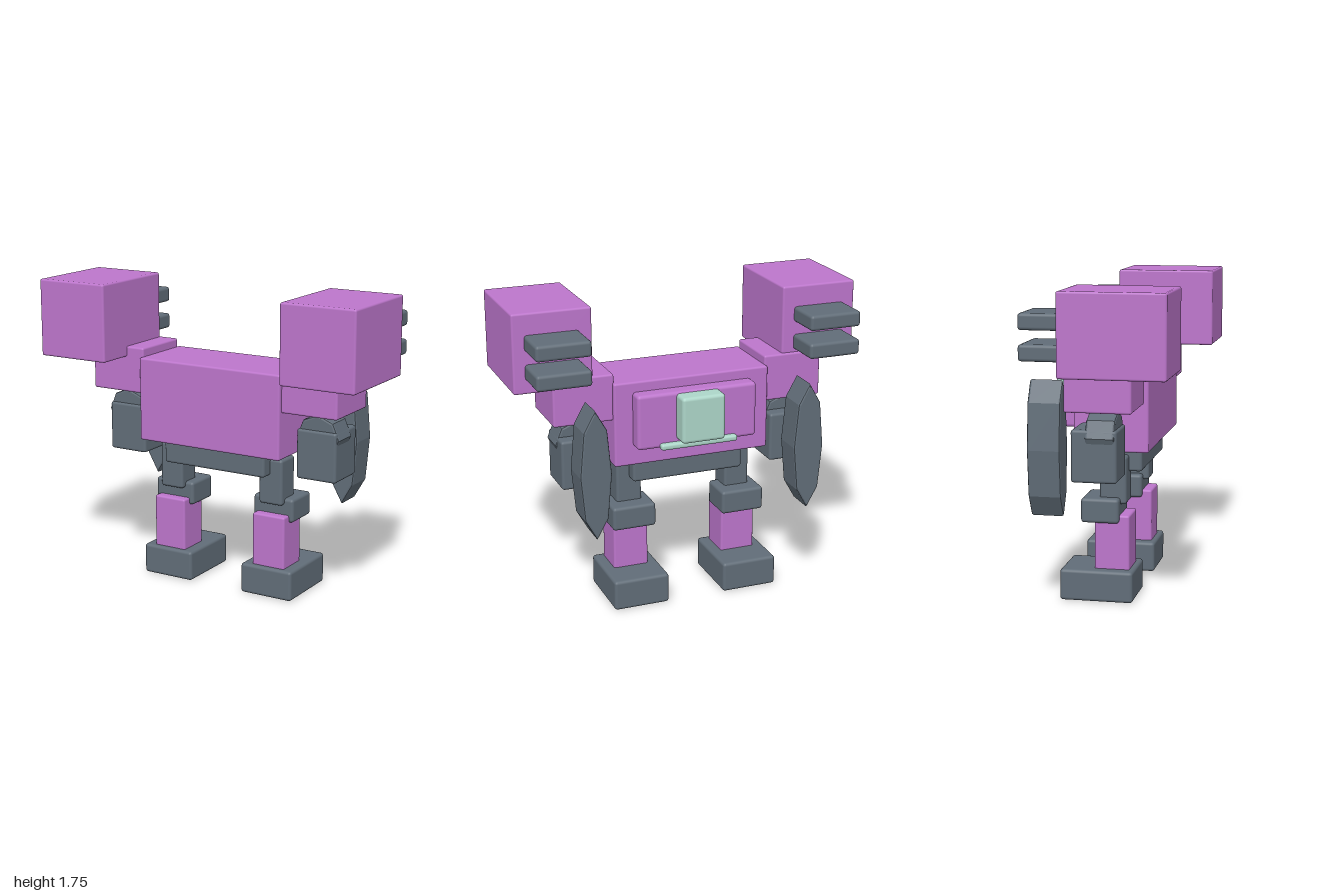
import * as THREE from 'three';
import { RoundedBoxGeometry } from 'three/addons/geometries/RoundedBoxGeometry.js';

export function createModel() {
  const model = new THREE.Group();
  model.name = 'walkingRobot';

  const makeMaterial = (name, color) => {
    const m = new THREE.MeshStandardMaterial({ color });
    m.name = name;
    return m;
  };
  const purple = makeMaterial('purple armour', 0xbd76cc);
  const slate = makeMaterial('slate metal', 0x616d78);
  const mint = makeMaterial('mint glow', 0xadd6c9);

  // Softly bevelled box given by its [min, max] extents on each axis
  function box(parent, name, material, [x0, x1], [y0, y1], [z0, z1], radius = 0.012) {
    const geometry = new RoundedBoxGeometry(x1 - x0, y1 - y0, z1 - z0, 2, radius);
    const mesh = new THREE.Mesh(geometry, material);
    mesh.name = name;
    mesh.position.set((x0 + x1) / 2, (y0 + y1) / 2, (z0 + z1) / 2);
    parent.add(mesh);
  }

  // Eight-sided prism along z, stretched to radii rx and ry, with bevelled rims
  function octagon(parent, name, material, x, y, rx, ry, [z0, z1]) {
    const bevel = 0.012;
    const points = [];
    for (let i = 0; i < 8; i++) {
      const a = (i * Math.PI) / 4;
      points.push(new THREE.Vector2(Math.cos(a) * (rx - bevel), Math.sin(a) * (ry - bevel)));
    }
    const geometry = new THREE.ExtrudeGeometry(new THREE.Shape(points), {
      depth: z1 - z0 - 2 * bevel,
      bevelEnabled: true, bevelThickness: bevel, bevelSize: bevel, bevelSegments: 2,
    });
    const mesh = new THREE.Mesh(geometry, material);
    mesh.name = name;
    mesh.position.set(x, y, z0 + bevel);
    parent.add(mesh);
  }

  // Body
  box(model, 'torso', purple, [-0.455, 0.455], [0.835, 1.315], [-0.207, 0.207]);
  box(model, 'pelvis', slate, [-0.328, 0.328], [0.705, 0.86], [-0.145, 0.147], 0.016);

  // Back unit with glowing block and bar
  box(model, 'backpack', purple, [-0.35, 0.35], [0.945, 1.258], [-0.29, -0.19], 0.02);
  box(model, 'glowBlock', mint, [-0.126, 0.126], [0.985, 1.248], [-0.385, -0.27], 0.02);
  box(model, 'glowBar', mint, [-0.225, 0.225], [0.94, 0.975], [-0.325, -0.28], 0.014);

  // Limbs, mirrored by swapping the sign of every x extent
  for (const [side, s] of [['left', 1], ['right', -1]]) {
    const xs = (a, b) => (s > 0 ? [a, b] : [-b, -a]);

    const arm = new THREE.Group();
    arm.name = side + 'Arm';
    box(arm, 'shoulder', purple, xs(0.445, 0.79), [1.1, 1.365], [-0.18, 0.18]);
    box(arm, 'shoulderPod', purple, xs(0.558, 0.998), [1.305, 1.747], [-0.165, 0.4]);
    for (const y of [1.38, 1.54]) {
      box(arm, 'podFin', slate, xs(0.628, 0.932), [y, y + 0.088], [-0.383, -0.14], 0.018);
    }
    octagon(arm, 'elbowDisc', slate, s * 0.624, 0.96, 0.13, 0.13, [-0.077, 0.08]);
    box(arm, 'forearm', slate, xs(0.5, 0.743), [0.72, 1.003], [-0.155, 0.092], 0.016);
    octagon(arm, 'bladeShield', slate, s * 0.626, 0.878, 0.09, 0.364, [-0.4, -0.22]);
    model.add(arm);

    const leg = new THREE.Group();
    leg.name = side + 'Leg';
    box(leg, 'thigh', slate, xs(0.255, 0.403), [0.535, 0.8], [-0.075, 0.075], 0.016);
    box(leg, 'knee', slate, xs(0.203, 0.457), [0.435, 0.572], [-0.17, 0.042], 0.018);
    box(leg, 'shin', purple, xs(0.228, 0.432), [0.15, 0.478], [-0.097, 0.097]);
    box(leg, 'foot', slate, xs(0.167, 0.492), [0, 0.175], [-0.282, 0.125], 0.018);
    model.add(leg);
  }

  return model;
}
